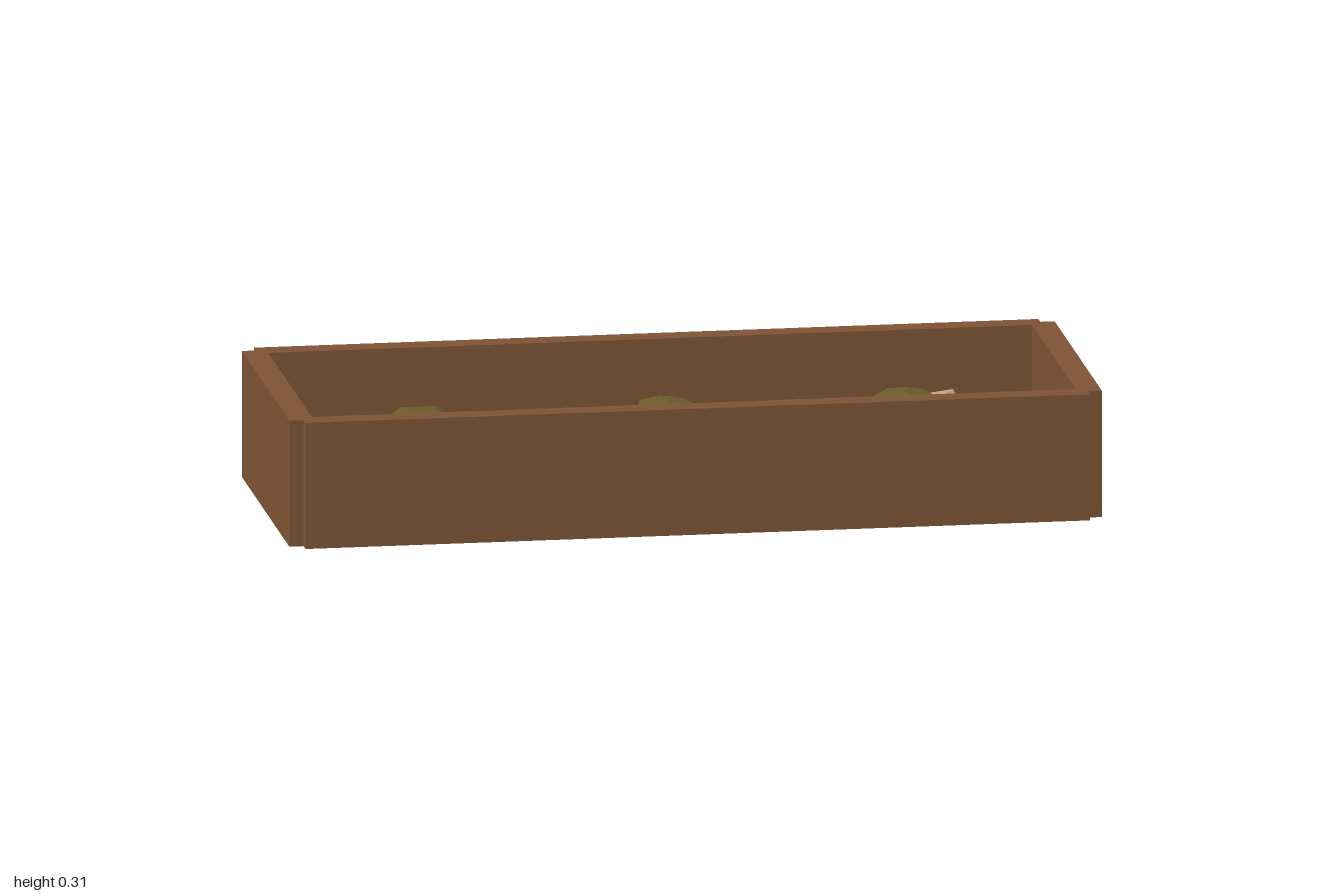
import * as THREE from 'three';

const HEIGHT = 0.315, FLOOR = 0.08;

export function createModel() {
  const model = new THREE.Group();
  model.name = 'rockTray';

  const mat = (name, color, flat) => {
    const m = new THREE.MeshStandardMaterial({ color, flatShading: flat });
    m.name = name;
    return m;
  };
  const wood = mat('brown wood', 0x7d5334, true);
  const tan = mat('tan stone', 0xb89f72, true);
  const olive = mat('olive leaf', 0x685a2b, true);

  const add = (name, geometry, material, x, y, z) => {
    const mesh = new THREE.Mesh(geometry, material);
    mesh.name = name;
    mesh.position.set(x, y, z);
    model.add(mesh);
    return mesh;
  };

  // Four walls as one frame with notched corners
  const X = 1, Z = 0.4, nx = 0.965, nz = 0.37;
  const outline = new THREE.Shape([
    [nx, -Z], [nx, -nz], [X, -nz], [X, nz], [nx, nz], [nx, Z],
    [-nx, Z], [-nx, nz], [-X, nz], [-X, -nz], [-nx, -nz], [-nx, -Z],
  ].map(([a, b]) => new THREE.Vector2(a, b)));
  outline.holes.push(new THREE.Path([
    [-0.94, -0.34], [-0.94, 0.34], [0.94, 0.34], [0.94, -0.34],
  ].map(([a, b]) => new THREE.Vector2(a, b))));
  const frame = new THREE.ExtrudeGeometry(outline, { depth: HEIGHT, bevelEnabled: false });
  frame.rotateX(-Math.PI / 2);
  add('walls', frame, wood, 0, 0, 0);

  // Floor inside the walls
  add('floor', new THREE.BoxGeometry(1.88, FLOOR, 0.68), wood, 0, FLOOR / 2, 0);

  // Faceted stones, each turned differently: x, z, and optional height
  const stones = [
    [-0.615, -0.18], [-0.76, -0.06], [-0.43, -0.16],
    [-0.765, 0.18], [-0.595, 0.11], [-0.42, 0.18],
    [-0.045, -0.175], [0.145, -0.205], [-0.17, 0.035], [-0.145, -0.01, 0.125],
    [0.175, 0.035], [0.16, 0.13], [-0.02, 0.12], [-0.165, 0.235],
    [0.53, -0.16], [0.7, -0.24], [0.48, 0.035],
    [0.55, 0.12], [0.73, 0.085], [0.45, 0.28],
  ];
  const stoneGeometry = new THREE.IcosahedronGeometry(0.08, 0);
  stones.forEach(([x, z, y = 0.112], i) => {
    add('stone', stoneGeometry, tan, x, y, z).rotation.set(i * 1.3, i * 2.1, i * 0.7);
  });

  // Small pebbles
  const pebbleGeometry = new THREE.IcosahedronGeometry(0.022, 1);
  for (const [x, z] of [[0.14, -0.03], [0.05, -0.04]]) {
    add('pebble', pebbleGeometry, tan, x, 0.1, z);
  }

  // Flattened olive caps hovering over the stones
  const capGeometry = new THREE.DodecahedronGeometry(0.08, 0);
  const caps = [
    [-0.6, -0.11], [-0.6, 0.18], [0, -0.11], [0, 0.03, 0.15],
    [0, 0.18], [0.59, -0.11], [0.59, 0.18],
  ];
  caps.forEach(([x, z, y = 0.195], i) => {
    const cap = add('oliveCap', capGeometry, olive, x, y, z);
    cap.scale.y = 0.35;
    cap.rotation.y = i * 0.9;
  });

  return model;
}
